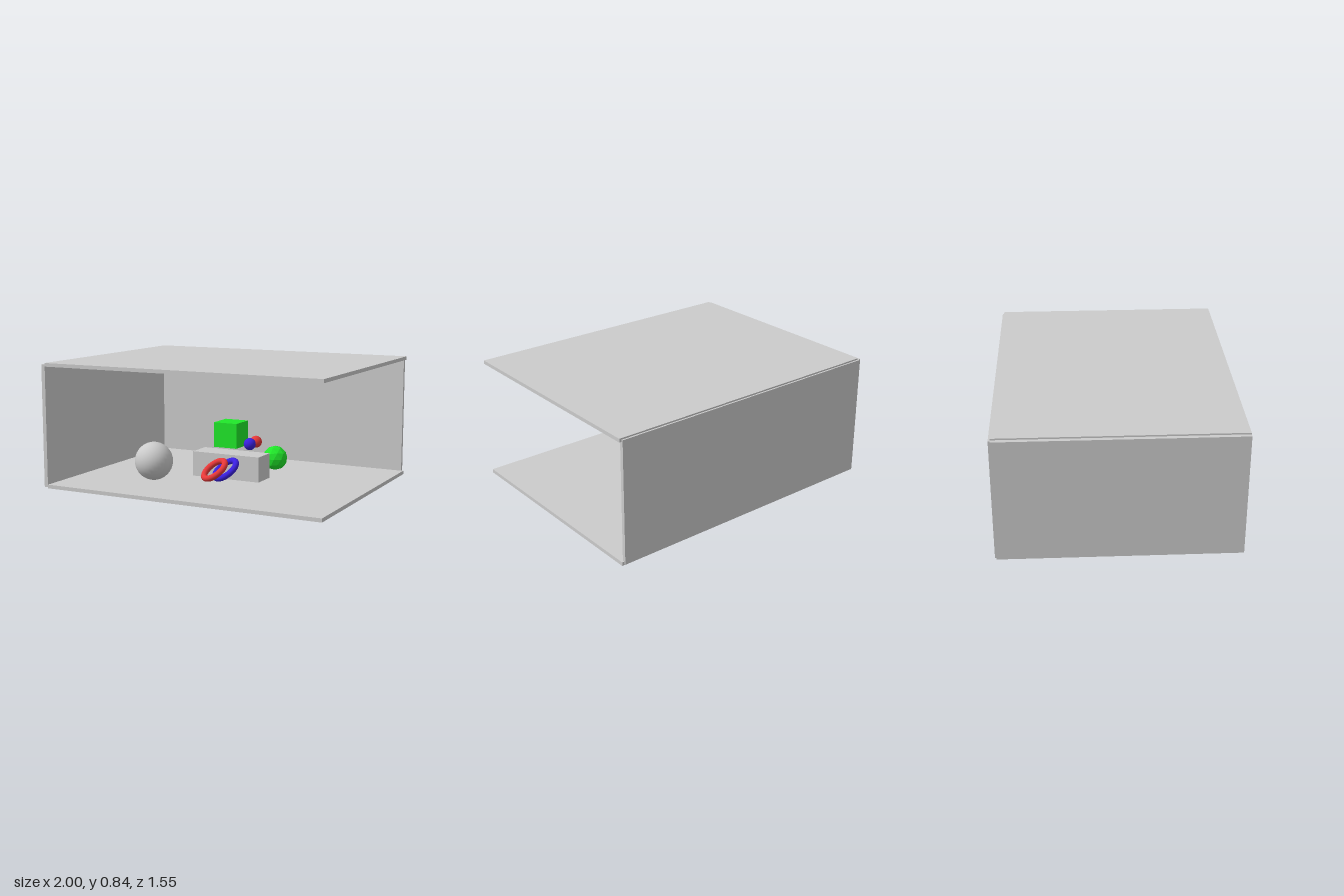
import * as THREE from 'three';

const GREY = 0xcccccc, RED = 0xe73838, GREEN = 0x20e72a, BLUE = 0x3a20e0;

export function createModel() {
  const room = new THREE.Group();
  room.name = 'room';

  function add(name, geometry, color, [x, y, z], flatShading = false) {
    const mesh = new THREE.Mesh(geometry, new THREE.MeshStandardMaterial({ color, flatShading }));
    mesh.name = name;
    mesh.position.set(x, y, z);
    room.add(mesh);
    return mesh;
  }

  // Box given by its lower and upper corners
  function slab(name, color, a, b) {
    const size = b.map((v, i) => v - a[i]);
    return add(name, new THREE.BoxGeometry(...size), color, b.map((v, i) => (v + a[i]) / 2));
  }

  // Room shell, open at the front and on the left side
  slab('floor', GREY, [-0.973, 0, -0.762], [1, 0.025, 0.773]);
  slab('ceiling', GREY, [-0.973, 0.818, -0.762], [1, 0.842, 0.773]);
  slab('sideWall', GREY, [-1, 0.008, -0.762], [-0.973, 0.832, 0.773]);
  slab('backWall', GREY, [-0.985, 0.008, -0.773], [0.985, 0.832, -0.748]);

  // Pedestal with a cube floating above it
  slab('pedestal', GREY, [-0.24, 0.03, -0.08], [0.262, 0.202, 0.094]);
  slab('cube', GREEN, [-0.075, 0.247, -0.08], [0.096, 0.417, 0.094]);

  // Balls
  add('largeBall', new THREE.SphereGeometry(0.129, 32, 16), GREY, [-0.388, 0.17, 0.37]);
  add('blueBall', new THREE.SphereGeometry(0.041, 32, 16), BLUE, [0.171, 0.278, 0.042]);
  add('redBall', new THREE.SphereGeometry(0.041, 32, 16), RED, [0.169, 0.278, -0.058]);

  // Faceted ball, turned so that a corner points straight up
  const facetedBall = new THREE.IcosahedronGeometry(0.085, 1);
  facetedBall.rotateX(-Math.atan((1 + Math.sqrt(5)) / 2));
  add('facetedBall', facetedBall, GREEN, [0.257, 0.152, -0.185], true);

  // Two parallel tilted rings
  const axis = new THREE.Vector3(-0.37, 0.77, 0.49).normalize();
  const rings = [
    ['redRing', RED, [0, 0.119, 0.23]],
    ['blueRing', BLUE, [0.063, 0.119, 0.19]],
  ];
  for (const [name, color, position] of rings) {
    const ring = add(name, new THREE.TorusGeometry(0.085, 0.021, 12, 48), color, position);
    ring.quaternion.setFromUnitVectors(new THREE.Vector3(0, 0, 1), axis);
  }

  return room;
}
